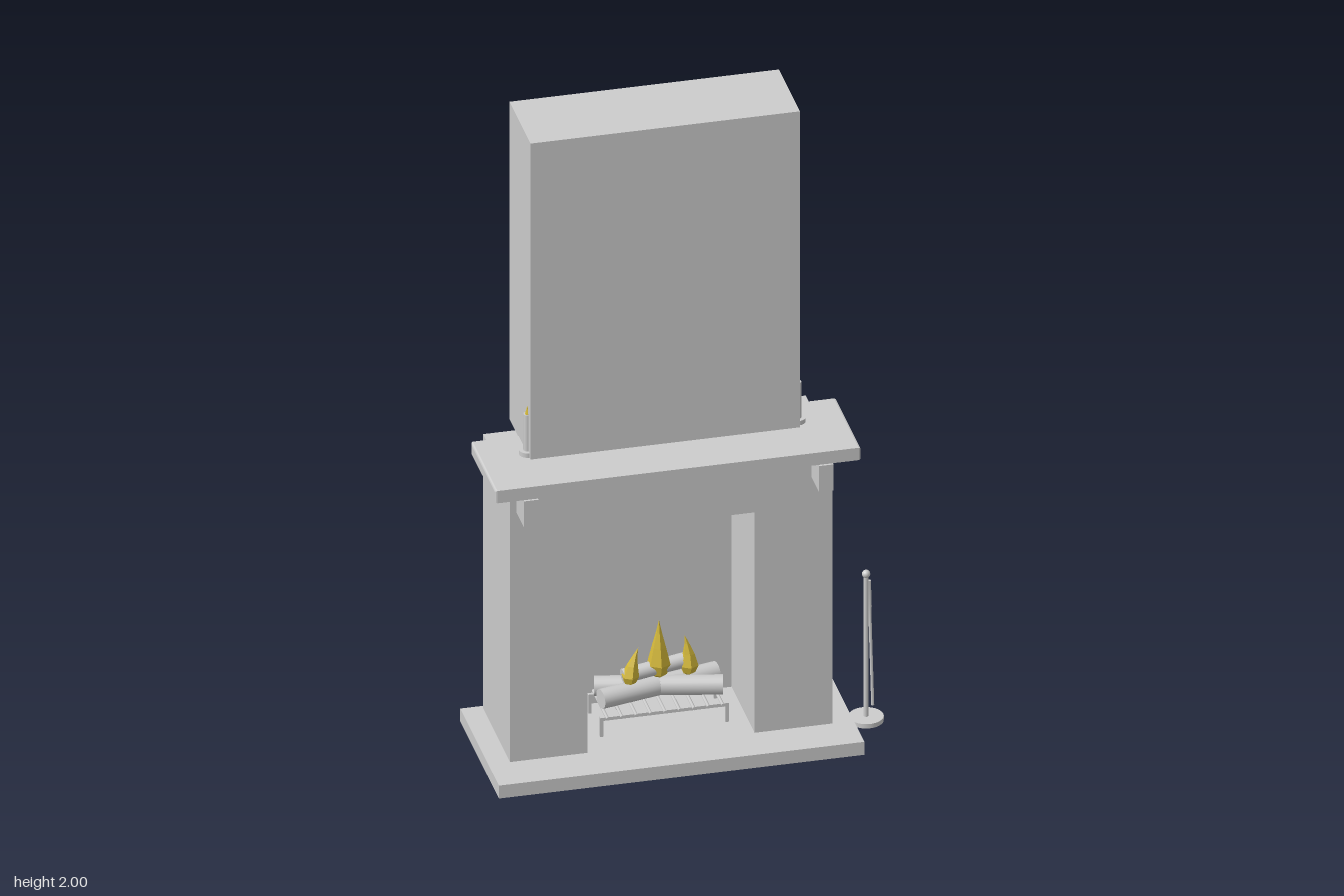
import * as THREE from 'three';

export function createModel() {
  const model = new THREE.Group();
  model.name = 'fireplace';
  const stone = new THREE.MeshStandardMaterial({ name: 'plain grey', color: 0xcccccc });
  const gold = new THREE.MeshStandardMaterial({ name: 'flame gold', color: 0xd4b93a, flatShading: true });
  const CX = -0.0525; // centre line of the masonry

  function add(name, geometry, material = stone, parent = model) {
    const mesh = new THREE.Mesh(geometry, material);
    mesh.name = name;
    parent.add(mesh);
    return mesh;
  }
  // box given by its limits on each axis
  function box(name, x0, x1, y0, y1, z0, z1, parent = model) {
    const mesh = add(name, new THREE.BoxGeometry(x1 - x0, y1 - y0, z1 - z0), stone, parent);
    mesh.position.set((x0 + x1) / 2, (y0 + y1) / 2, (z0 + z1) / 2);
    return mesh;
  }
  // cylinder between two points
  function rod(name, a, b, r, sides = 12, parent = model) {
    const p = new THREE.Vector3(...a), q = new THREE.Vector3(...b);
    const dir = q.clone().sub(p);
    const mesh = add(name, new THREE.CylinderGeometry(r, r, dir.length(), sides), stone, parent);
    mesh.position.copy(p).add(q).multiplyScalar(0.5);
    mesh.quaternion.setFromUnitVectors(new THREE.Vector3(0, 1, 0), dir.normalize());
    return mesh;
  }

  // Masonry: hearth, surround with firebox opening, back wall, chimney
  box('hearth', -0.585, 0.48, 0, 0.042, -0.23, 0.23);
  const outline = new THREE.Shape([
    [-0.522, 0.042], [-0.296, 0.042], [-0.296, 0.757], [0.191, 0.757],
    [0.191, 0.042], [0.418, 0.042], [0.418, 0.932], [-0.522, 0.932],
  ].map(([x, y]) => new THREE.Vector2(x, y)));
  add('surround', new THREE.ExtrudeGeometry(outline, { depth: 0.32, bevelEnabled: false })).position.z = -0.215;
  box('fireboxBack', -0.296, 0.191, 0.042, 0.716, -0.215, -0.17);
  box('chimney', -0.445, 0.34, 0.97, 2, -0.215, 0.035);

  // Mantel shelf with softened edges, running along x
  const b = 0.006;
  const shelf = new THREE.Shape([
    [-0.105 + b, 0.935 + b], [0.19 - b, 0.935 + b], [0.19 - b, 0.975 - b], [-0.105 + b, 0.975 - b],
  ].map(([z, y]) => new THREE.Vector2(-z, y)));
  const shelfGeo = new THREE.ExtrudeGeometry(shelf, {
    depth: 1.065 - 2 * b, bevelSize: b, bevelThickness: b, bevelSegments: 2,
  });
  shelfGeo.rotateY(Math.PI / 2);
  add('mantelShelf', shelfGeo).position.x = -0.585 + b;

  // Paired corbels and candlesticks
  for (const s of [-1, 1]) {
    const x = CX + s * 0.43;
    box('corbel', x - 0.021, x + 0.021, 0.85, 0.935, 0.1, 0.197);

    const candle = new THREE.Group();
    candle.name = 'candlestick';
    candle.position.set(CX + s * 0.393, 0.975, 0);
    model.add(candle);
    rod('candleDish', [0, 0, 0], [0, 0.014, 0], 0.024, 24, candle);
    rod('candle', [0, 0.014, 0], [0, 0.13, 0], 0.012, 20, candle);
    const flame = add('candleFlame', new THREE.ConeGeometry(0.008, 0.028, 8), gold, candle);
    flame.position.y = 0.143;
  }

  // Grate: rails, legs and cross bars
  const grate = new THREE.Group();
  grate.name = 'grate';
  model.add(grate);
  for (const z of [-0.12, 0.02]) {
    box('grateRail', -0.24, 0.136, 0.093, 0.103, z - 0.005, z + 0.005, grate);
    for (const x of [-0.235, 0.131]) box('grateLeg', x - 0.005, x + 0.005, 0.042, 0.1, z - 0.005, z + 0.005, grate);
  }
  for (let i = 0; i < 9; i++) {
    const x = -0.22 + i * 0.042;
    rod('grateBar', [x, 0.103, -0.135], [x, 0.103, 0.035], 0.005, 8, grate);
  }

  // Two crossed logs with a shorter one on top
  for (const s of [-1, 1]) {
    rod('log', [CX - 0.178, 0.148, -0.045 - s * 0.04], [CX + 0.178, 0.148, -0.045 + s * 0.04], 0.029, 20);
  }
  rod('topLog', [-0.158, 0.193, -0.04], [0.03, 0.212, -0.06], 0.022, 20);

  // Faceted flames with curved tips: base x, z, height, radius, tip shift, belly shift
  const flames = [
    [-0.05, -0.05, 0.19, 0.034, 0, 0],
    [-0.14, -0.03, 0.12, 0.026, 0.025, 0],
    [0.035, -0.05, 0.13, 0.028, -0.01, 0.005],
  ];
  for (const [x, z, h, r, tip, belly] of flames) {
    const profile = [[0, 0], [0.7, 0.1], [1, 0.27], [0.62, 0.55], [0.25, 0.8], [0, 1]]
      .map(([pr, py]) => new THREE.Vector2(pr * r, py * h));
    const geo = new THREE.LatheGeometry(profile, 6);
    const pos = geo.attributes.position;
    for (let i = 0; i < pos.count; i++) {
      const t = pos.getY(i) / h;
      pos.setX(i, pos.getX(i) + tip * t * t + belly * Math.sin(Math.PI * t));
    }
    geo.computeVertexNormals();
    add('flame', geo, gold).position.set(x, 0.166, z);
  }

  // Fire tool stand with a hanging poker
  const tools = new THREE.Group();
  tools.name = 'toolStand';
  tools.position.set(0.533, 0, 0.035);
  model.add(tools);
  rod('standBase', [0, 0, 0], [0, 0.014, 0], 0.05, 32, tools);
  rod('standPole', [0, 0.014, 0], [0, 0.47, 0], 0.007, 12, tools);
  add('standKnob', new THREE.SphereGeometry(0.012, 16, 12), stone, tools).position.y = 0.474;
  rod('poker', [0.011, 0.445, -0.012], [0.02, 0.045, -0.003], 0.0045, 8, tools);
  rod('pokerHandle', [0.011, 0.445, -0.012], [0.013, 0.36, -0.01], 0.006, 8, tools);

  return model;
}
